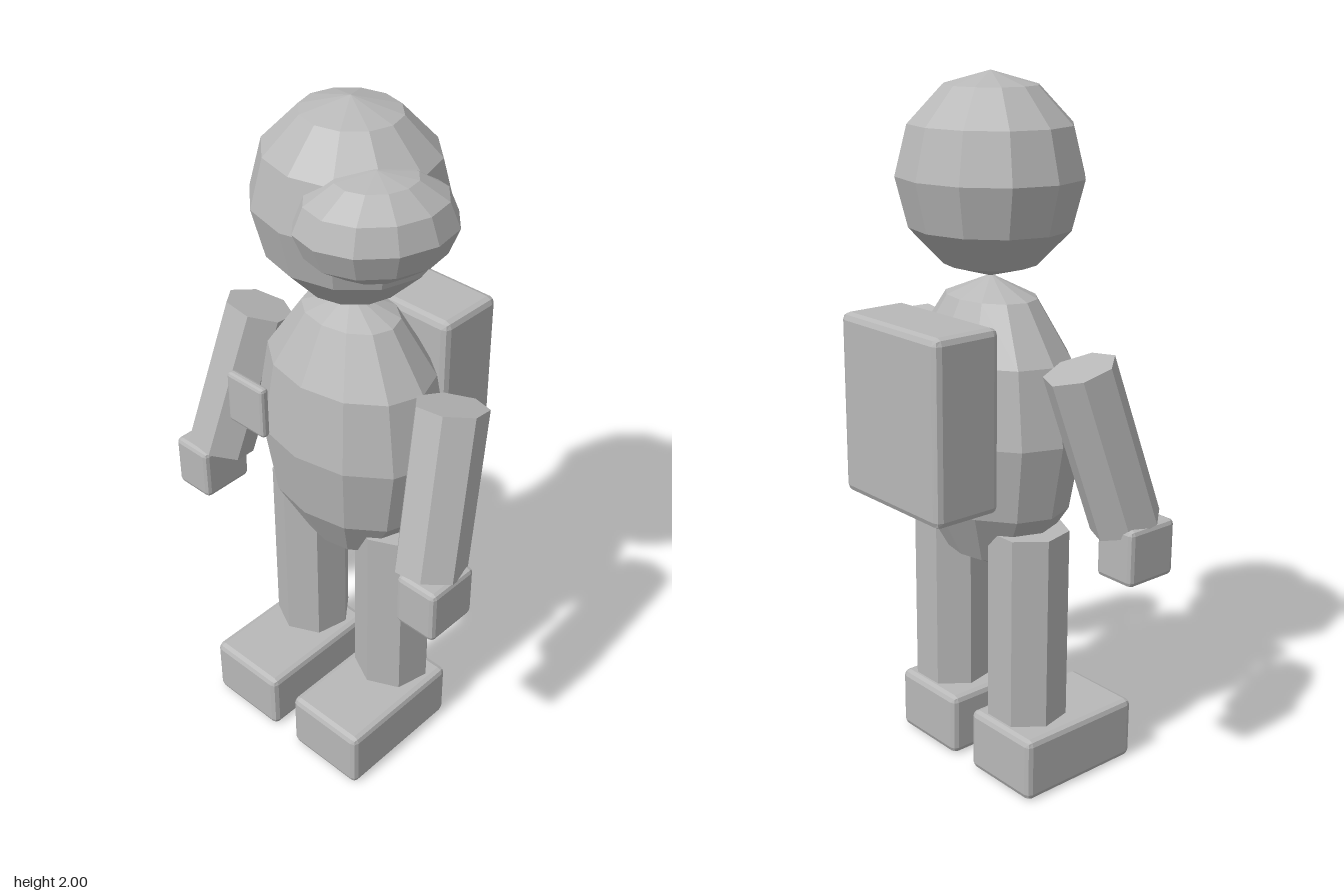
import * as THREE from 'three';
import { RoundedBoxGeometry } from 'three/addons/geometries/RoundedBoxGeometry.js';

export function createModel() {
  const model = new THREE.Group();
  model.name = 'astronaut';
  const suitGrey = new THREE.MeshStandardMaterial({ color: 0xb8b8b8, flatShading: true });
  suitGrey.name = 'suit grey';

  const add = (name, geometry, x, y, z) => {
    const mesh = new THREE.Mesh(geometry, suitGrey);
    mesh.name = name;
    mesh.position.set(x, y, z);
    model.add(mesh);
    return mesh;
  };

  // Low-poly ellipsoid given its three radii
  const ellipsoid = (rx, ry, rz) => new THREE.SphereGeometry(1, 12, 6).scale(rx, ry, rz);
  // Box with a single chamfer on every edge
  const chamferBox = (w, h, d, bevel) => new RoundedBoxGeometry(w, h, d, 1, bevel);

  // Torso and helmet
  add('torso', ellipsoid(0.297, 0.425, 0.22), 0, 1.04, 0.025);
  add('helmet', ellipsoid(0.27, 0.27, 0.25), 0, 1.73, 0.022);

  // Visor, turned toward the model's left
  const visor = add('visor', ellipsoid(0.207, 0.135, 0.175), 0.176, 1.765, 0.122);
  visor.rotation.y = Math.PI / 3;

  // Backpack and chest panel
  add('backpack', chamferBox(0.417, 0.51, 0.21, 0.02), 0, 1.12, -0.225);
  add('chestPanel', chamferBox(0.138, 0.16, 0.028, 0.01), -0.185, 1.12, 0.236);

  for (const [side, s] of [['left', 1], ['right', -1]]) {
    // Leg and boot
    add(side + 'Leg', new THREE.CylinderGeometry(0.115, 0.115, 0.565, 7), s * 0.167, 0.493, 0.021);
    add(side + 'Boot', chamferBox(0.255, 0.188, 0.41, 0.018), s * 0.167, 0.095, 0.122);

    // Arm, slanting outward and forward from shoulder to wrist
    const shoulder = new THREE.Vector3(s * 0.352, 1.27, 0.026);
    const wrist = new THREE.Vector3(s * 0.408, 0.83, 0.157);
    const axis = shoulder.clone().sub(wrist);
    const armShape = new THREE.CylinderGeometry(0.1, 0.1, axis.length(), 7).rotateY(Math.PI);
    const middle = shoulder.clone().lerp(wrist, 0.5);
    const arm = add(side + 'Arm', armShape, middle.x, middle.y, middle.z);
    arm.quaternion.setFromUnitVectors(new THREE.Vector3(0, 1, 0), axis.normalize());

    // Hand
    add(side + 'Hand', chamferBox(0.13, 0.162, 0.165, 0.014), s * 0.437, 0.766, 0.167);
  }

  return model;
}
